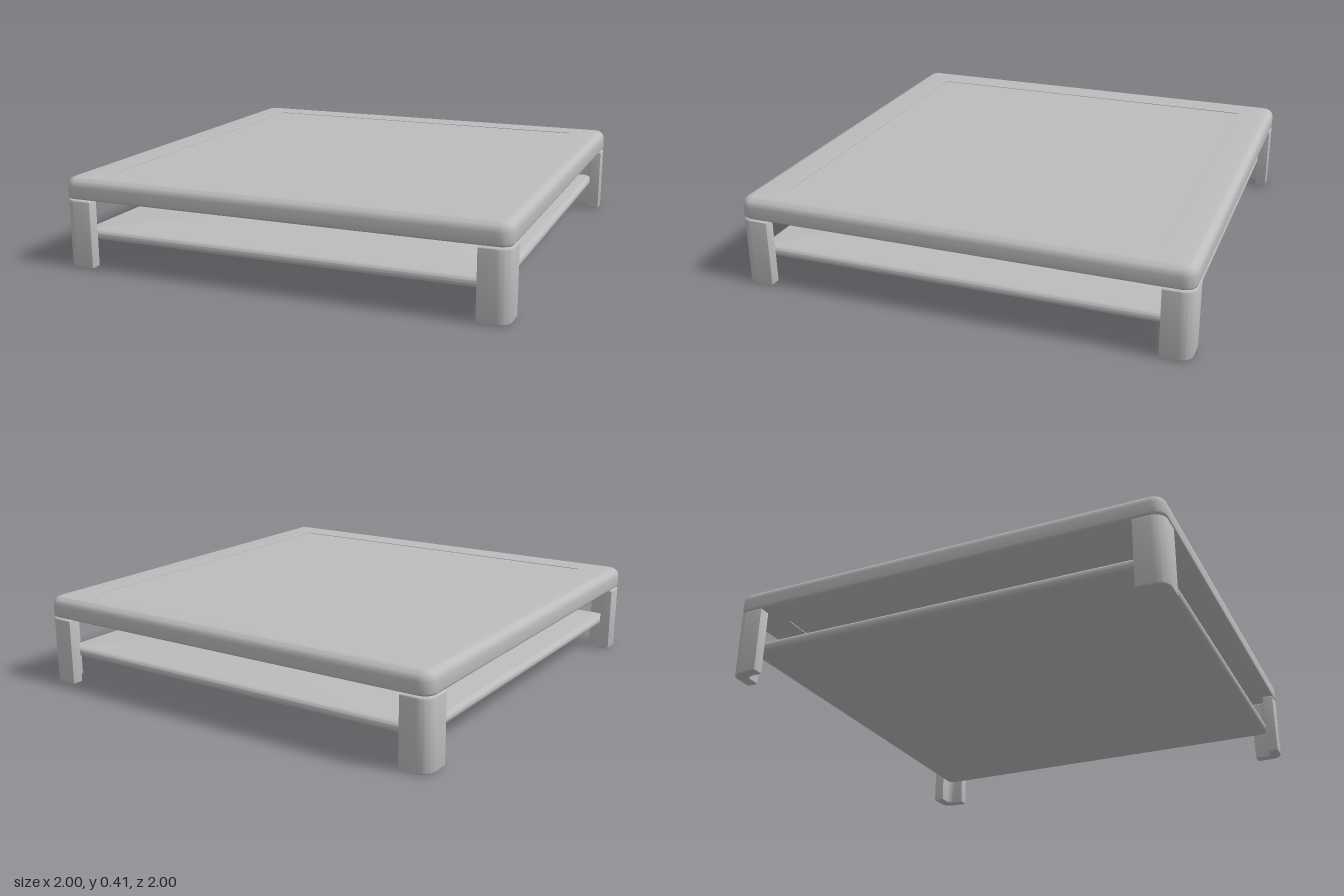
import * as THREE from 'three';
import { toCreasedNormals } from 'three/addons/utils/BufferGeometryUtils.js';

// Skins a stack of rounded squares; each profile entry is [halfSize, y, cornerRadius]
function loftSquares(profile, steps = 8) {
  const pos = [], idx = [];
  const count = 4 * (steps + 1);
  for (const [half, y, r] of profile) {
    for (let q = 0; q < 4; q++) {
      const mid = (q + 0.5) * Math.PI / 2;
      const cx = Math.sign(Math.cos(mid)) * (half - r);
      const cz = Math.sign(Math.sin(mid)) * (half - r);
      for (let s = 0; s <= steps; s++) {
        const a = (q + s / steps) * Math.PI / 2;
        pos.push(cx + r * Math.cos(a), y, cz + r * Math.sin(a));
      }
    }
  }
  for (let i = 0; i < profile.length - 1; i++) {
    for (let j = 0; j < count; j++) {
      const a = i * count + j, b = i * count + (j + 1) % count;
      const c = a + count, d = b + count;
      idx.push(a, c, b, b, c, d);
    }
  }
  const geo = new THREE.BufferGeometry();
  geo.setAttribute('position', new THREE.Float32BufferAttribute(pos, 3));
  geo.setIndex(idx);
  return toCreasedNormals(geo, 0.6);
}

// Quarter-round edge between two heights, as profile entries
function roundEdge(half, y, radius, corner, from, to, steps = 6) {
  const out = [];
  for (let i = 0; i <= steps; i++) {
    const a = from + (to - from) * i / steps;
    const inset = radius * (1 - Math.cos(a));
    out.push([half - inset, y + radius * Math.sin(a), corner - inset]);
  }
  return out;
}

export function createModel() {
  const model = new THREE.Group();
  model.name = 'coffeeTable';
  const grey = new THREE.MeshStandardMaterial({ color: 0xbcbcbc });
  grey.name = 'grey';
  const add = (geo, name) => {
    const mesh = new THREE.Mesh(geo, grey);
    mesh.name = name;
    model.add(mesh);
    return mesh;
  };
  const H = Math.PI / 2;

  // Tabletop frame with a softly rounded rim
  add(loftSquares([
    [0.836, 0.31, 0.001],
    ...roundEdge(1, 0.32, 0.01, 0.055, -H, 0, 3),
    ...roundEdge(1, 0.365, 0.04, 0.055, 0, H),
    [0.836, 0.405, 0.001],
    [0.836, 0.31, 0.001],
  ]), 'tabletopFrame');

  // Centre panel, set a hair below the frame
  const panel = add(new THREE.BoxGeometry(1.668, 0.091, 1.668), 'tabletopPanel');
  panel.position.y = 0.3575;

  // Lower shelf with rounded edges
  add(loftSquares([
    [0, 0.12, 0],
    ...roundEdge(0.95, 0.1425, 0.0225, 0.045, -H, H, 12),
    [0, 0.165, 0],
  ]), 'shelf');

  // L-section corner legs wrapping the shelf corners
  const bevel = 0.006;
  const o = 1 - bevel, e = 0.87 + bevel, n = 0.95 + bevel;
  const section = new THREE.Shape();
  section.moveTo(e, n);
  section.lineTo(n - 0.04, n);
  section.absarc(n - 0.04, n - 0.04, 0.04, H, 0, true);
  section.lineTo(n, e);
  section.lineTo(o, e);
  section.lineTo(o, o - 0.05);
  section.absarc(o - 0.05, o - 0.05, 0.05, 0, H, false);
  section.lineTo(e, o);
  section.closePath();
  const legGeo = new THREE.ExtrudeGeometry(section, {
    depth: 0.306 - 2 * bevel, curveSegments: 10,
    bevelEnabled: true, bevelSize: bevel, bevelThickness: bevel, bevelSegments: 3,
  });
  legGeo.rotateX(-H);
  legGeo.translate(0, bevel, 0);
  const leg = toCreasedNormals(legGeo, 0.6);
  ['backLeftLeg', 'backRightLeg', 'frontRightLeg', 'frontLeftLeg'].forEach((name, i) => {
    add(leg, name).rotation.y = i * H;
  });

  return model;
}
